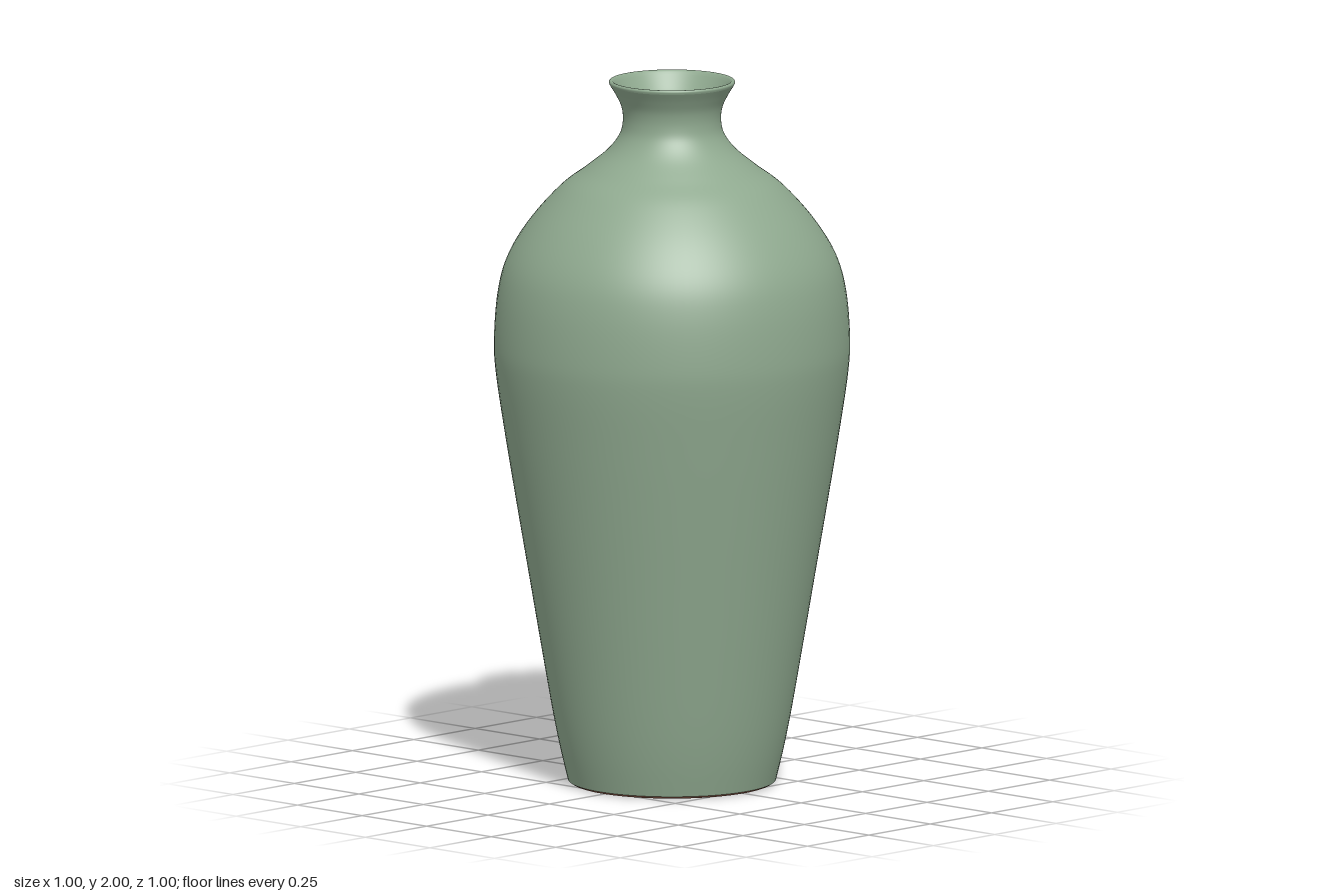
import * as THREE from 'three';

const SIDES = 96;
const toPoints = (pairs) => pairs.map(([r, y]) => new THREE.Vector2(r, y));

// Smooth profile through a few [radius, height] points
function smooth(pairs, steps) {
  return new THREE.SplineCurve(toPoints(pairs)).getPoints(steps)
    .map((p) => new THREE.Vector2(Math.max(p.x, 0), p.y));
}

export function createModel() {
  const group = new THREE.Group();
  group.name = 'vase';

  const glaze = new THREE.MeshStandardMaterial({ color: 0x8fa98f });
  glaze.name = 'celadon glaze';
  const clay = new THREE.MeshStandardMaterial({ color: 0x8c5a48 });
  clay.name = 'bare brown clay';

  // Profiles run counter-clockwise, so every face points away from the wall
  function turn(name, points, material) {
    const mesh = new THREE.Mesh(new THREE.LatheGeometry(points, SIDES), material);
    mesh.name = name;
    group.add(mesh);
  }

  // Outer wall: tapered body, round shoulder, narrow neck and flared lip
  turn('body', smooth([
    [0.292, 0.008], [0.314, 0.1], [0.336, 0.21], [0.369, 0.4], [0.403, 0.6],
    [0.437, 0.8], [0.47, 1.0], [0.495, 1.17], [0.5, 1.27], [0.489, 1.4],
    [0.461, 1.5], [0.4, 1.6], [0.315, 1.695], [0.243, 1.75], [0.182, 1.8],
    [0.148, 1.845], [0.138, 1.885], [0.142, 1.925], [0.158, 1.96], [0.175, 1.988],
  ], 110), glaze);

  // Rounded rim
  turn('rim', smooth([
    [0.175, 1.988], [0.177, 1.995], [0.173, 2.0], [0.166, 1.998], [0.159, 1.989],
  ], 16), glaze);

  // Inner wall, from the mouth down to the floor
  turn('innerWall', smooth([
    [0.159, 1.989], [0.138, 1.955], [0.114, 1.92], [0.105, 1.885], [0.115, 1.835],
    [0.152, 1.785], [0.22, 1.725], [0.29, 1.67], [0.37, 1.58], [0.428, 1.485],
    [0.455, 1.39], [0.465, 1.27], [0.46, 1.17], [0.435, 1.0], [0.402, 0.8],
    [0.367, 0.6], [0.333, 0.4], [0.3, 0.21], [0.28, 0.11],
  ], 90), glaze);
  turn('innerFloor', toPoints([[0.28, 0.11], [0, 0.08]]), glaze);

  // Unglazed foot ring with softly rounded edges
  turn('footRing', smooth([
    [0.238, 0.008], [0.246, 0.001], [0.262, 0], [0.28, 0.001], [0.292, 0.008],
  ], 16), clay);

  // Glazed hollow under the base, curving down into the foot
  turn('baseHollow', smooth([
    [0, 0.05], [0.1, 0.049], [0.17, 0.045], [0.21, 0.035], [0.238, 0.008],
  ], 24), glaze);

  return group;
}
